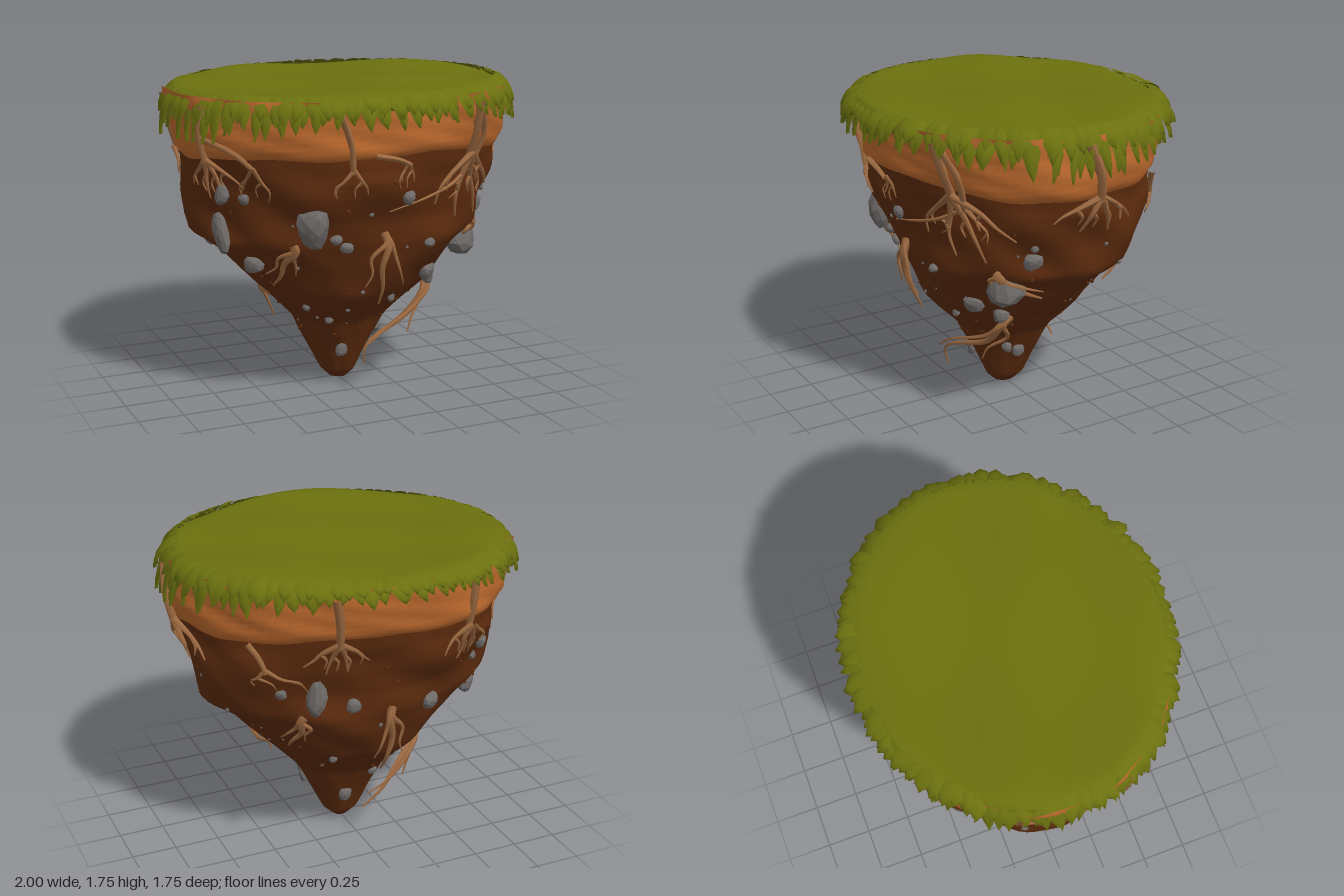
import * as THREE from 'three';
import { mergeGeometries } from 'three/addons/utils/BufferGeometryUtils.js';

const material = (name, color, extra = {}) => Object.assign(new THREE.MeshStandardMaterial({ color, ...extra }), { name });

// Small seeded random numbers
let seed = 7;
const rnd = (a = 0, b = 1) => {
  seed = (seed * 16807) % 2147483647;
  return a + (b - a) * seed / 2147483647;
};

// Soil half widths: height, along x, along z
const PROFILE = [
  [0, 0, 0], [0.01, 0.05, 0.06], [0.06, 0.1, 0.11], [0.2, 0.165, 0.17], [0.4, 0.27, 0.27],
  [0.6, 0.47, 0.46], [0.8, 0.66, 0.56], [0.86, 0.73, 0.58], [0.91, 0.81, 0.6],
  [1.05, 0.84, 0.62], [1.2, 0.87, 0.69], [1.36, 0.89, 0.73], [1.5, 0.92, 0.75], [1.7, 0.92, 0.78],
];
function widths(y) {
  let i = 1;
  while (i < PROFILE.length - 1 && PROFILE[i][0] < y) i++;
  const [y0, x0, z0] = PROFILE[i - 1], [y1, x1, z1] = PROFILE[i];
  const t = THREE.MathUtils.clamp((y - y0) / (y1 - y0), 0, 1);
  return [x0 + (x1 - x0) * t, z0 + (z1 - z0) * t];
}

// Lumpy soil surface at an angle (0 = front, +90 degrees = model's left) and height
function surface(a, y, off = 0) {
  const [ax, az] = widths(y);
  const lump = 0.022 * Math.sin(3 * a + 7 * y) + 0.018 * Math.sin(5 * a - 9 * y + 1)
    + 0.014 * Math.abs(Math.sin(4 * a + 11 * y)) + 0.01 * Math.sin(11 * a + 17 * y);
  const k = 1 + lump * (y > 1.3 ? 0.5 : 1);
  return new THREE.Vector3((ax * k + off) * Math.sin(a), y, (az * k + off) * Math.cos(a));
}

// Surface point seen from one side: u is x for front/back and z for left/right
function at(side, u, y, off = 0) {
  const [ax, az] = widths(y);
  const r = THREE.MathUtils.clamp(u / (side === 'front' || side === 'back' ? ax : az), -1, 1);
  const a = { front: Math.asin(r), back: Math.PI - Math.asin(r), left: Math.acos(r), right: -Math.acos(r) }[side];
  return surface(a, y, off);
}

// Closed skin through rings, listed from the bottom or outside inwards
function loft(rows, cols, point) {
  const pos = [], index = [];
  for (let i = 0; i <= rows; i++) for (let j = 0; j < cols; j++) {
    pos.push(...point(i / rows, j / cols * Math.PI * 2).toArray());
    if (i === rows) continue;
    const a = i * cols + j, b = i * cols + (j + 1) % cols;
    index.push(a, b, b + cols, a, b + cols, a + cols);
  }
  const g = new THREE.BufferGeometry();
  g.setAttribute('position', new THREE.Float32BufferAttribute(pos, 3));
  g.setIndex(index);
  g.computeVertexNormals();
  return g;
}

// Tapered root through points
function rootGeometry(points, r0, r1) {
  const curve = new THREE.CatmullRomCurve3(points), n = 14, sides = 6;
  const g = new THREE.TubeGeometry(curve, n, 1, sides), p = g.attributes.position, v = new THREE.Vector3();
  for (let i = 0; i < p.count; i++) {
    const t = Math.floor(i / (sides + 1)) / n, c = curve.getPointAt(t);
    v.fromBufferAttribute(p, i).sub(c).multiplyScalar(r0 + (r1 - r0) * t).add(c);
    p.setXYZ(i, v.x, v.y, v.z);
  }
  g.computeVertexNormals();
  return g;
}

// Root that climbs down the soil from (u0, y0) and fans out at (u1, y1)
function climbingRoot(side, u0, y0, u1, y1, spread, drop) {
  const r = 0.014 + spread * 0.07, n = spread > 0.1 ? 4 : 2;
  const on = (u, y) => at(side, u, y, y > 1.35 ? 0.03 : 0.012);
  const mid = [u0 + (u1 - u0) * 0.7, (y0 + y1) / 2];
  const parts = [rootGeometry([on(u0, y0), on(...mid), on(u1, y1)], r, r * 0.75)];
  for (let k = 0; k < n; k++) {
    const f = k / (n - 1) * 2 - 1, d = drop * (1 - 0.4 * Math.abs(f)) * rnd(0.85, 1.1);
    const knee = [u1 + f * spread * 0.55, y1 - d * 0.35], bend = [u1 + f * spread * 0.85 + rnd(-0.02, 0.02), y1 - d * 0.65];
    parts.push(rootGeometry([on(u1, y1 + 0.02), on(...knee), on(...bend), on(u1 + f * spread, y1 - d)], r * 0.7, r * 0.15));
    parts.push(rootGeometry([on(...knee), on(knee[0] - 0.03, knee[1] - 0.04), on(knee[0] - 0.025, knee[1] - 0.09)], r * 0.45, r * 0.12));
  }
  return mergeGeometries(parts);
}

// Root that leaves the soil at (u, y) and hangs free in three strands
function hangingRoot(side, u, y, spread, drop, gap) {
  const parts = [-1, 0, 1].map((f) => {
    const d = drop * (1 - 0.3 * Math.abs(f)), r = f ? 0.017 : 0.025;
    const steps = [[0, 0, -0.01], [0.15, 0.1, 0.35], [0.45, 0.7, 0.6], [0.75, 0.75, 0.85], [1, 1, 1]];
    return rootGeometry(steps.map(([t, s, o]) => at(side, u + f * s * spread + 0.015 * Math.sin(9 * t), y - t * d, o * gap)), r, r * 0.2);
  });
  return mergeGeometries(parts);
}

// Drooping leaf, hung from its top edge
function leafGeometry(width, length, out) {
  const g = new THREE.PlaneGeometry(1, 1, 2, 5), p = g.attributes.position;
  for (let i = 0; i < p.count; i++) {
    const s = p.getX(i) * 2, t = 0.5 - p.getY(i);
    const w = width * Math.pow(Math.max(0, Math.sin(Math.PI * (0.2 + 0.8 * t))), 0.8);
    p.setXYZ(i, s * w, -length * Math.pow(t, 1.4), out * (1 - (1 - t) ** 2) - s * s * 0.018);
  }
  g.computeVertexNormals();
  return g;
}

// Climbing roots: side, start, fork, spread, drop
const CLIMBING = [
  ['front', -0.31, 1.66, -0.22, 1.33, 0.08, 0.18], ['front', 0.47, 1.66, 0.5, 1.35, 0.22, 0.36],
  ['front', -0.86, 1.5, -0.66, 1.34, 0.06, 0.28], ['front', -0.12, 1.42, 0.07, 1.36, 0.04, 0.15],
  ['left', 0.08, 1.66, 0, 1.36, 0.22, 0.22], ['left', 0.66, 1.66, 0.56, 1.28, 0.1, 0.28],
  ['left', -0.46, 1.38, -0.5, 1.22, 0.06, 0.15], ['right', 0.3, 1.66, 0.27, 1.36, 0.14, 0.24],
  ['right', -0.25, 1.66, -0.25, 1.34, 0.1, 0.2], ['back', 0.33, 1.66, 0.3, 1.38, 0.16, 0.2],
  ['back', -0.45, 1.66, -0.43, 1.35, 0.15, 0.22],
];
// Hanging roots: side, start, spread, drop, final gap from the soil
const HANGING = [
  ['front', 0, 0.98, 0.09, 0.41, 0.1], ['front', -0.46, 0.93, 0.05, 0.25, 0.04], ['front', 0.6, 0.95, 0.05, 0.18, 0.03],
  ['left', 0.21, 0.6, 0.05, 0.41, 0.2], ['right', -0.21, 0.57, 0.05, 0.37, 0.16],
  ['back', -0.03, 0.95, 0.07, 0.43, 0.1], ['back', 0.42, 0.94, 0.05, 0.24, 0.04],
];

// Main rocks: side, u, height, half width, half height
const ROCKS = [
  ['front', -0.38, 1.05, 0.085, 0.125], ['front', -0.78, 1.19, 0.045, 0.06], ['front', -0.26, 0.96, 0.035, 0.03],
  ['front', -0.2, 0.91, 0.035, 0.03], ['front', 0.09, 1.18, 0.035, 0.04], ['front', 0.26, 0.9, 0.035, 0.025],
  ['front', 0.74, 1.01, 0.04, 0.04], ['front', 0.35, 0.69, 0.055, 0.055], ['front', 0.15, 0.56, 0.025, 0.03],
  ['front', -0.05, 0.22, 0.035, 0.045], ['left', 0.27, 1.02, 0.05, 0.045], ['left', 0.33, 0.84, 0.11, 0.095],
  ['left', 0.26, 0.62, 0.045, 0.045], ['left', 0.1, 0.3, 0.03, 0.04], ['left', 0.03, 0.27, 0.035, 0.04],
  ['left', -0.56, 1.06, 0.06, 0.12], ['right', 0.22, 0.97, 0.05, 0.12], ['right', 0.28, 0.8, 0.06, 0.05],
  ['right', -0.28, 0.85, 0.07, 0.07], ['back', 0.18, 0.99, 0.04, 0.04], ['back', -0.3, 0.9, 0.05, 0.05],
  ['back', 0.04, 0.22, 0.035, 0.05], ['back', -0.6, 1.18, 0.04, 0.04],
];

export function createModel() {
  seed = 7;
  const grass = material('grass green', 0x6b700f, { side: THREE.DoubleSide });
  const lightSoil = material('light soil', 0xbe6a2e);
  const darkSoil = material('dark soil', 0x5e2c0e);
  const rootBrown = material('root brown', 0x9a6840);
  const stone = material('stone grey', 0x6e6a68);
  const model = new THREE.Group();
  model.name = 'floatingIsland';
  const add = (parent, name, geometry, mat) => {
    const mesh = new THREE.Mesh(geometry, mat);
    mesh.name = name;
    parent.add(mesh);
    return mesh;
  };
  const group = (name) => {
    const g = new THREE.Group();
    g.name = name;
    model.add(g);
    return g;
  };

  // Dark cone of soil, and the lighter band with a wavy lower lip
  add(model, 'darkSoil', loft(60, 96, (t, a) => surface(a, 1.46 * Math.pow(t, 1.2))), darkSoil);
  const lip = (a) => 1.365 + 0.025 * Math.sin(2 * a + 1.8) + 0.012 * Math.sin(5 * a);
  add(model, 'lightSoil', loft(12, 96, (t, a) => surface(a, lip(a) + (1.7 - lip(a)) * t,
    -0.02 + 0.043 * Math.min(1, t * 8) + 0.006 * Math.sin(13 * a + 20 * t))), lightSoil);

  // Grass turf with a rounded rim and a gently rolling top
  const rim = [[0.88, 1.64], [0.96, 1.62], [1, 1.66], [0.985, 1.7], [0.95, 1.718]];
  const turf = (t, a) => {
    const i = Math.round(t * 18);
    const [r, y] = i < 5 ? rim[i] : [0.95 * (18 - i) / 14, 1.72];
    const x = 0.94 * r * Math.sin(a), z = 0.81 * r * Math.cos(a);
    const roll = 0.011 * Math.sin(5 * x + 3 * z) + 0.008 * Math.sin(9 * z - 4 * x + 1) + 0.012 * x;
    return new THREE.Vector3(x, y + roll, z);
  };
  add(model, 'grassTop', loft(18, 96, turf), grass);

  // Overlapping leaves round the rim, longer at the sides
  const leaves = [];
  for (let layer = 0; layer < 2; layer++) for (let i = 0; i < 92; i++) {
    const a = (i + layer * 0.5 + rnd(-0.3, 0.3)) / 92 * Math.PI * 2;
    const length = (0.12 + 0.05 * (1 - Math.cos(2 * a)) + 0.025 * Math.cos(a)) * rnd(0.75, 1.15) * (layer ? 0.7 : 1);
    const g = leafGeometry(rnd(0.032, 0.046), length, rnd(0.075, 0.105) + layer * 0.005);
    g.rotateZ(rnd(-0.25, 0.25));
    g.rotateY(Math.atan2(Math.sin(a) / 0.94, Math.cos(a) / 0.81) + rnd(-0.2, 0.2));
    g.translate(0.895 * Math.sin(a), 1.715 + layer * 0.012 + 0.012 * Math.sin(a), 0.77 * Math.cos(a));
    leaves.push(g);
  }
  add(model, 'grassLeaves', mergeGeometries(leaves), grass);

  // Branching roots
  const roots = group('roots');
  for (const r of CLIMBING) add(roots, 'climbingRoot', climbingRoot(...r), rootBrown);
  for (const r of HANGING) add(roots, 'hangingRoot', hangingRoot(...r), rootBrown);

  // Faceted rocks, and pebbles scattered over the soil
  const rocks = group('rocks');
  const rock = (name, p, w, h, mat) => {
    const g = new THREE.IcosahedronGeometry(1, 1), v = g.attributes.position, k = rnd(0, 6);
    for (let i = 0; i < v.count; i++) {
      const x = v.getX(i), y = v.getY(i), z = v.getZ(i);
      const s = 1 + 0.1 * Math.sin(3 * x + k) + 0.08 * Math.sin(4 * y + 2 * z + k);
      v.setXYZ(i, x * s * w, y * s * h, z * s * w * 0.75);
    }
    g.computeVertexNormals();
    const mesh = add(rocks, name, g, mat);
    mesh.position.copy(p);
    mesh.rotation.set(0, Math.atan2(p.x, p.z), rnd(-0.3, 0.3), 'YXZ');
  };
  for (const [side, u, y, w, h] of ROCKS) rock('rock', at(side, u, y, w * 0.15), w, h, stone);
  for (let i = 0; i < 80; i++) {
    const r = i % 8 ? rnd(0.006, 0.014) : rnd(0.02, 0.032);
    rock('pebble', surface(rnd(0, 6.28), rnd(0.3, 1.28)), r, r, i % 8 && i % 3 ? darkSoil : stone);
  }
  return model;
}
